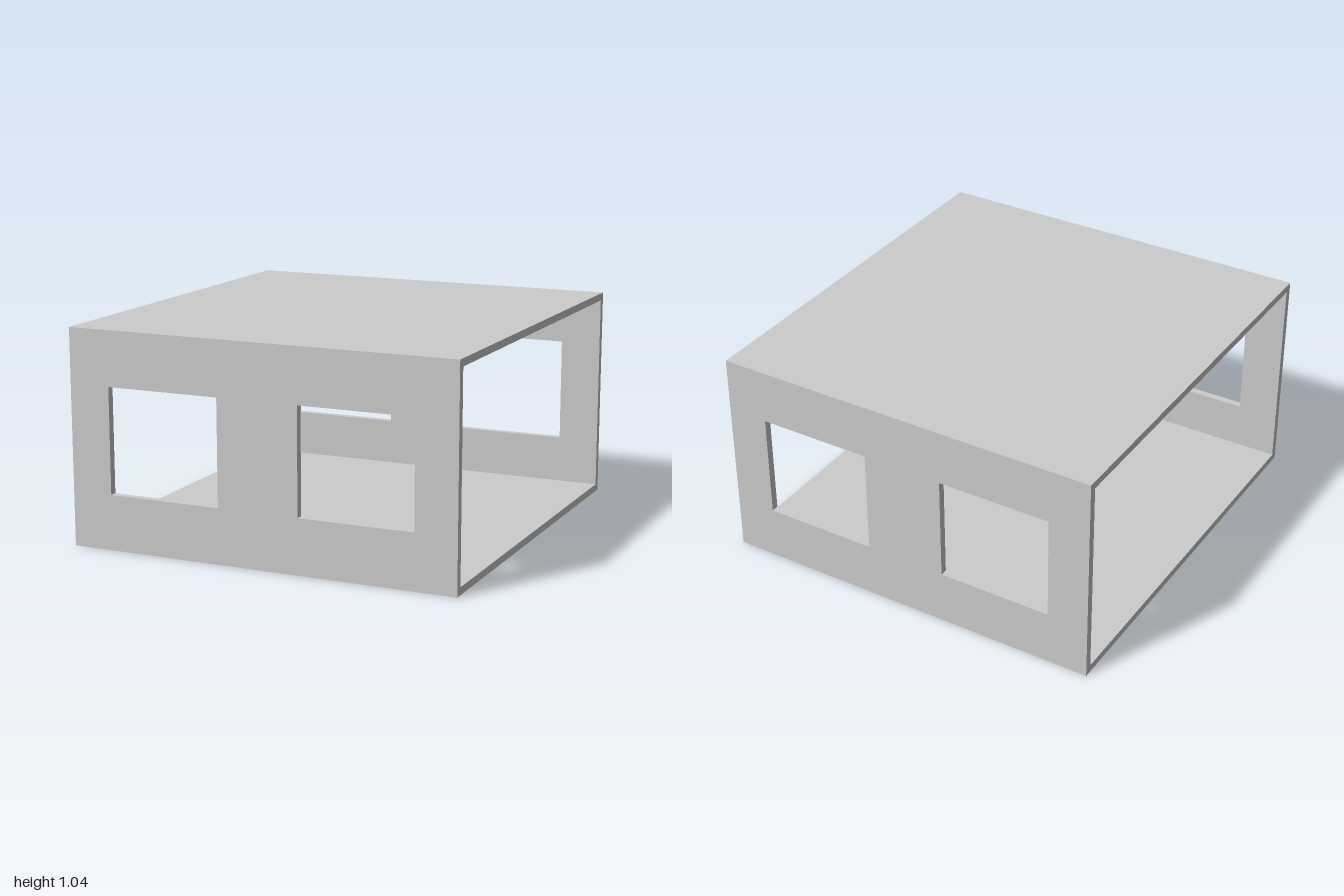
import * as THREE from 'three';

const HALF_X = 0.957, HALF_Z = 1, HEIGHT = 1.036, T = 0.036;
const WINDOW = { x0: 0.199, x1: 0.756, y0: 0.265, y1: 0.773 };

function rectangle(target, x0, y0, x1, y1) {
  target.moveTo(x0, y0);
  target.lineTo(x1, y0);
  target.lineTo(x1, y1);
  target.lineTo(x0, y1);
  target.closePath();
  return target;
}

export function createModel() {
  const group = new THREE.Group();
  group.name = 'openEndedBuilding';
  const material = new THREE.MeshStandardMaterial({ color: 0xcccccc, flatShading: true });

  const add = (name, geometry, y, z) => {
    const mesh = new THREE.Mesh(geometry, material);
    mesh.name = name;
    mesh.position.set(0, y, z);
    group.add(mesh);
  };

  // Floor and roof slabs
  const slab = new THREE.BoxGeometry(2 * HALF_X, T, 2 * HALF_Z);
  add('floor', slab, T / 2, 0);
  add('roof', slab, HEIGHT - T / 2, 0);

  // Front and back walls between the slabs, each with two window openings
  const wall = rectangle(new THREE.Shape(), -HALF_X, T, HALF_X, HEIGHT - T);
  const { x0, x1, y0, y1 } = WINDOW;
  wall.holes.push(
    rectangle(new THREE.Path(), x0, y0, x1, y1),
    rectangle(new THREE.Path(), -x1, y0, -x0, y1),
  );
  const wallGeometry = new THREE.ExtrudeGeometry(wall, { depth: T, bevelEnabled: false });
  add('frontWall', wallGeometry, 0, HALF_Z - T);
  add('backWall', wallGeometry, 0, -HALF_Z);

  return group;
}
